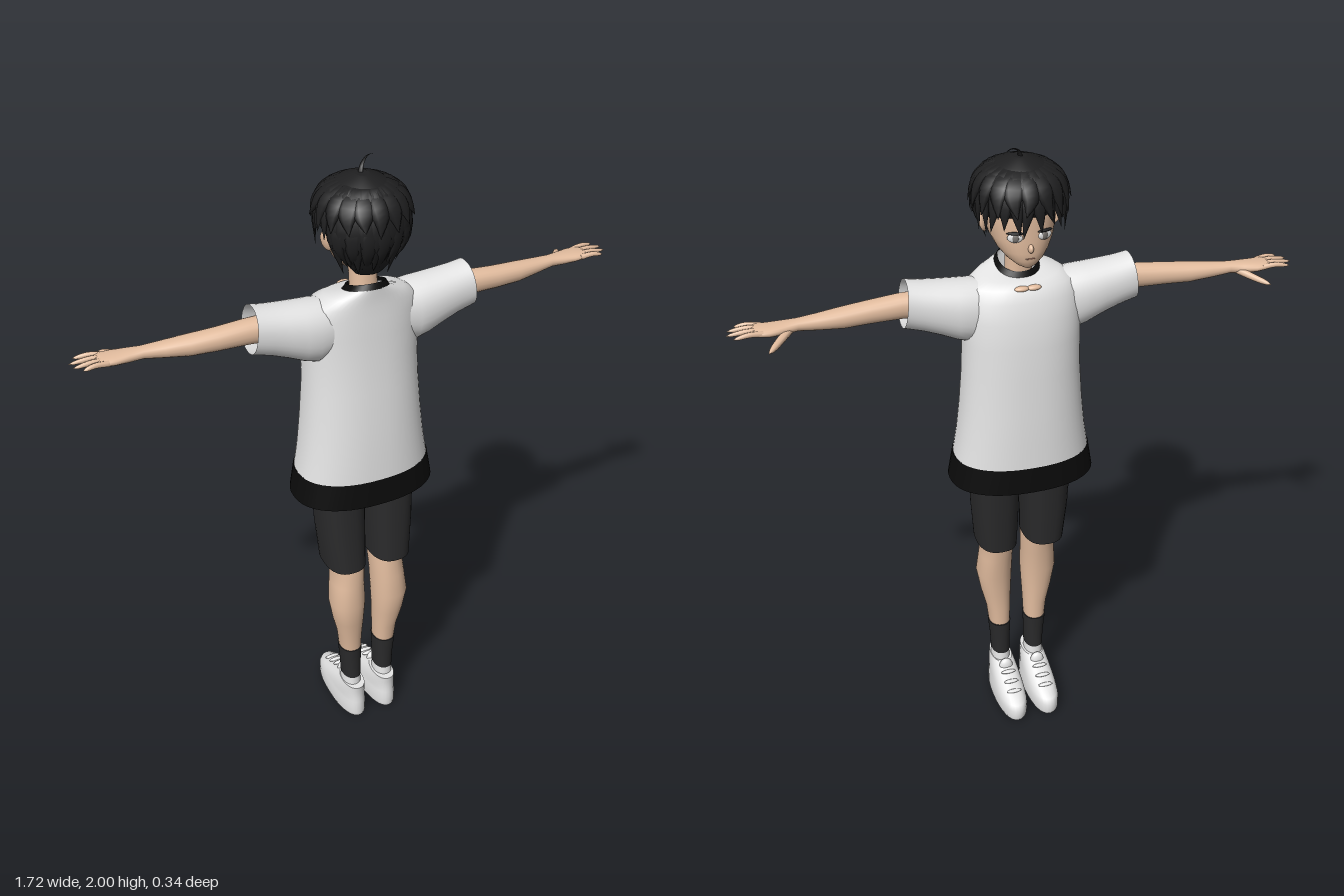
import * as THREE from 'three';

const V = (x, y, z) => new THREE.Vector3(x, y, z);
const mat = (name, color, side = THREE.FrontSide) => {
  const m = new THREE.MeshStandardMaterial({ color, side });
  m.name = name;
  return m;
};

// Surface through a list of closed rings, with flat end caps
function skin(rings, capped = true) {
  const pos = [], idx = [], n = rings[0].length;
  const add = (p) => pos.push(p.x, p.y, p.z) / 3 - 1;
  rings.forEach((r) => r.forEach(add));
  for (let i = 0; i < rings.length - 1; i++) {
    for (let j = 0; j < n; j++) {
      const a = i * n + j, c = i * n + (j + 1) % n;
      idx.push(a, a + n, c, c, a + n, c + n);
    }
  }
  if (capped) {
    [rings[0], rings[rings.length - 1]].forEach((r, end) => {
      const centre = add(r.reduce((s, p) => s.add(p), V(0, 0, 0)).divideScalar(n));
      const first = r.map(add)[0];
      for (let j = 0; j < n; j++) {
        const a = first + j, b = first + (j + 1) % n;
        idx.push(centre, end ? b : a, end ? a : b);
      }
    });
  }
  const g = new THREE.BufferGeometry();
  g.setAttribute('position', new THREE.Float32BufferAttribute(pos, 3));
  g.setIndex(idx);
  g.computeVertexNormals();
  return g;
}

// Sections [along, centreA, centreB, radiusA, radiusB, tilt]; axis y: A=x B=z, axis x: A=z B=y
function loft(sections, { axis = 'y', n = 32, power = 2.2, capped = true } = {}) {
  const sup = (v) => Math.sign(v) * Math.abs(v) ** (2 / power);
  return skin(sections.map(([u, ca, cb, ra, rb, tilt = 0]) =>
    Array.from({ length: n }, (_, j) => {
      const t = (j / n) * Math.PI * 2;
      const a = ca + ra * sup(Math.cos(t)), b = cb + rb * sup(Math.sin(t));
      const h = u + tilt * sup(Math.sin(t));
      return axis === 'y' ? V(a, h, b) : V(h, b, a);
    })), capped);
}

// Tapered strand along a smooth path; normalAt gives the direction of its thickness
function strand(points, width, thick, normalAt, taper, n = 6) {
  const curve = new THREE.CatmullRomCurve3(points), steps = 10;
  return skin(Array.from({ length: steps + 1 }, (_, i) => {
    const u = i / steps, c = curve.getPoint(u), T = curve.getTangent(u);
    const side = T.clone().cross(normalAt(c)).normalize(), N = side.clone().cross(T);
    return Array.from({ length: n }, (_, j) => {
      const t = (j / n) * Math.PI * 2;
      return c.clone().addScaledVector(side, Math.cos(t) * width * taper(u))
        .addScaledVector(N, Math.sin(t) * thick * taper(u));
    });
  }));
}

function blob(x, y, z, rx, ry, rz) {
  return new THREE.SphereGeometry(1, 20, 14).scale(rx, ry, rz).translate(x, y, z);
}

function mirrored(geo) {
  const g = geo.clone().scale(-1, 1, 1), ix = g.index;
  for (let i = 0; i < ix.count; i += 3) {
    const a = ix.getX(i);
    ix.setX(i, ix.getX(i + 1));
    ix.setX(i + 1, a);
  }
  g.computeVertexNormals();
  return g;
}

export function createModel() {
  const root = new THREE.Group();
  root.name = 'boy';
  const M = {
    skin: mat('skin', 0xe3bd9f),
    hair: mat('hair black', 0x1f1f20),
    shirt: mat('shirt white', 0xe4e4e4, THREE.DoubleSide),
    trim: mat('trim black', 0x0b0b0b, THREE.DoubleSide),
    shorts: mat('shorts charcoal', 0x2a2a2b),
    shoe: mat('shoe white', 0xe6e6e6),
    white: mat('bright white', 0xfafafa),
    iris: mat('iris grey', 0x77736f),
    mouth: mat('mouth', 0xb27b68),
  };
  const add = (name, geo, m, parent = root) => {
    const mesh = new THREE.Mesh(geo, m);
    mesh.name = name;
    parent.add(mesh);
  };
  const pair = (name, geo, m) => {
    add(name + 'Left', geo, m);
    add(name + 'Right', mirrored(geo), m);
  };

  // Shirt
  add('shirtBody', loft([
    [1.02, 0, 0.003, 0.215, 0.147], [1.1, 0, 0.002, 0.202, 0.143], [1.2, 0, 0, 0.191, 0.138],
    [1.32, 0, -0.002, 0.182, 0.128], [1.42, 0, -0.005, 0.18, 0.121], [1.5, 0, -0.002, 0.182, 0.113],
    [1.56, 0, 0.004, 0.178, 0.103], [1.595, 0, 0.012, 0.16, 0.092], [1.617, 0, 0.022, 0.122, 0.082, 0.008],
    [1.632, 0, 0.037, 0.066, 0.068, 0.02],
  ], { n: 48, capped: false, power: 2.3 }), M.shirt);
  pair('sleeve', loft([
    [0.1, 0.01, 1.52, 0.075, 0.085], [0.16, 0.01, 1.515, 0.082, 0.097], [0.2, 0.01, 1.522, 0.08, 0.092],
    [0.25, 0.01, 1.535, 0.074, 0.083], [0.3, 0.01, 1.547, 0.068, 0.076], [0.35, 0.01, 1.559, 0.065, 0.071, -0.009],
  ], { axis: 'x', capped: false }), M.shirt);
  add('shirtHem', loft([[0.935, 0, 0.005, 0.232, 0.155], [1.022, 0, 0.003, 0.217, 0.149]],
    { n: 48, capped: false, power: 2.3 }), M.trim);
  add('collar', loft([[1.63, 0, 0.037, 0.067, 0.069, 0.021], [1.648, 0, 0.037, 0.056, 0.06, 0.02]],
    { capped: false }), M.trim);
  pair('collarbone', blob(0.025, 1.597, -0.074, 0.022, 0.008, 0.012).rotateZ(0.004), M.skin);

  // Arms and hands
  pair('arm', loft([
    [0.15, 0.01, 1.55, 0.042, 0.045], [0.36, 0.008, 1.554, 0.037, 0.037], [0.45, 0.005, 1.55, 0.036, 0.033],
    [0.53, -0.002, 1.547, 0.035, 0.03], [0.6, -0.009, 1.548, 0.029, 0.023], [0.66, -0.014, 1.55, 0.023, 0.017],
    [0.7, -0.018, 1.549, 0.03, 0.017], [0.74, -0.021, 1.549, 0.037, 0.015], [0.775, -0.02, 1.551, 0.037, 0.012],
    [0.788, -0.02, 1.552, 0.03, 0.007],
  ], { axis: 'x', n: 20 }), M.skin);
  const up = () => V(0, 1, 0);
  const rounded = (u) => Math.sqrt(Math.max(0.02, 1 - u ** 6)) * (1 - 0.25 * u);
  [[-0.047, -0.06, 0.842], [-0.028, -0.032, 0.86], [-0.009, -0.005, 0.855], [0.009, 0.019, 0.833]]
    .forEach(([z0, z1, tip], i) => pair('finger' + (i + 1),
      strand([V(0.76, 1.551, z0), V(0.8, 1.556, (z0 + z1) / 2), V(tip, 1.551, z1)], 0.0095, 0.009, up, rounded, 8), M.skin));
  pair('thumb', strand([V(0.68, 1.545, -0.022), V(0.715, 1.534, -0.065), V(0.755, 1.524, -0.118)],
    0.014, 0.012, up, rounded, 8), M.skin);

  // Shorts and legs
  add('shortsHips', loft([[0.945, 0, 0.01, 0.163, 0.098], [1.1, 0, 0.01, 0.155, 0.095]]), M.shorts);
  pair('shortsLeg', loft([
    [0.657, 0.079, 0.03, 0.066, 0.094], [0.8, 0.083, 0.02, 0.074, 0.095], [1.0, 0.085, 0.009, 0.078, 0.097],
  ], { power: 2.5 }), M.shorts);
  pair('leg', loft([
    [0.27, 0.062, 0.05, 0.034, 0.043], [0.35, 0.065, 0.053, 0.04, 0.047], [0.42, 0.072, 0.058, 0.05, 0.056],
    [0.5, 0.077, 0.06, 0.059, 0.064], [0.58, 0.073, 0.05, 0.055, 0.066], [0.65, 0.068, 0.042, 0.053, 0.07],
    [0.72, 0.075, 0.03, 0.058, 0.075],
  ]), M.skin);
  pair('sock', loft([[0.16, 0.06, 0.05, 0.031, 0.044], [0.22, 0.061, 0.05, 0.033, 0.044],
    [0.29, 0.063, 0.05, 0.038, 0.047]]), M.shorts);
  pair('ankle', loft([[0.06, 0.06, 0.05, 0.036, 0.05], [0.165, 0.06, 0.05, 0.029, 0.041]]), M.white);

  // Shoes: heel stays put while the front edge runs back towards the ankle; [y, halfWidth, front, heel, tilt]
  pair('shoe', loft([
    [0, 0.049, -0.168, 0.118], [0.012, 0.053, -0.176, 0.121], [0.045, 0.053, -0.176, 0.12],
    [0.062, 0.05, -0.165, 0.118], [0.078, 0.048, -0.132, 0.116], [0.096, 0.045, -0.085, 0.115],
    [0.113, 0.041, -0.045, 0.116], [0.13, 0.036, -0.006, 0.118],
  ].map(([y, w, f, h]) => [y, 0.057, (f + h) / 2, w, (h - f) / 2])), M.shoe);
  pair('tongue', blob(0.057, 0.118, -0.012, 0.024, 0.03, 0.016), M.shoe);
  for (let i = 0; i < 3; i++) {
    pair('lace' + (i + 1), blob(0.057, 0.116 - i * 0.015, -0.044 - i * 0.034, 0.026, 0.006, 0.008), M.shoe);
  }

  // Head and face
  add('neck', loft([[1.54, 0, 0.03, 0.05, 0.05], [1.62, 0, 0.022, 0.04, 0.042], [1.71, 0, 0.015, 0.04, 0.045]]), M.skin);
  add('head', loft([
    [1.664, 0, -0.064, 0.012, 0.016], [1.672, 0, -0.052, 0.03, 0.037], [1.69, 0, -0.032, 0.054, 0.065],
    [1.715, 0, -0.012, 0.075, 0.089], [1.75, 0, 0.002, 0.092, 0.103], [1.8, 0, 0.01, 0.102, 0.11],
    [1.86, 0, 0.012, 0.104, 0.112], [1.91, 0, 0.012, 0.085, 0.095], [1.94, 0, 0.012, 0.05, 0.06],
  ], { n: 40 }), M.skin);
  add('nose', blob(0, 1.731, -0.101, 0.008, 0.013, 0.013), M.skin);
  add('mouthLine', blob(0, 1.699, -0.095, 0.016, 0.0025, 0.005), M.mouth);
  pair('ear', blob(0, 0, 0, 0.01, 0.031, 0.02).rotateY(-0.5).rotateZ(-0.25).translate(0.109, 1.783, 0.012), M.skin);
  pair('eyeWhite', blob(0, 0, 0, 0.022, 0.014, 0.006).rotateY(-0.3).translate(0.044, 1.765, -0.092), M.white);
  pair('iris', blob(0, 0, 0, 0.01, 0.013, 0.005).rotateY(-0.3).translate(0.043, 1.765, -0.0955), M.iris);
  pair('eyelash', blob(0, 0, 0, 0.025, 0.004, 0.007).rotateY(-0.3).translate(0.044, 1.779, -0.094), M.hair);

  // Hair: a scalp shell covered with layered pointed locks
  const hair = new THREE.Group();
  hair.name = 'hair';
  root.add(hair);
  add('scalp', loft([
    [1.69, 0, 0.055, 0.042, 0.03], [1.73, 0, 0.062, 0.075, 0.056], [1.78, 0, 0.055, 0.102, 0.085],
    [1.825, 0, 0.022, 0.124, 0.126], [1.88, 0, 0.012, 0.126, 0.134], [1.92, 0, 0.012, 0.105, 0.115],
    [1.95, 0, 0.012, 0.065, 0.075], [1.966, 0, 0.012, 0.02, 0.025],
  ], { n: 40, power: 2 }), M.hair, hair);
  let seed = 7;
  const rnd = () => (seed = (seed * 16807) % 2147483647) / 2147483647;
  const head = V(0, 1.83, 0.012);
  const outward = (p) => p.clone().sub(head).normalize();
  const pointed = (u) => (0.35 + 0.65 * Math.min(1, u * 2.5)) * (u < 0.55 ? 1 : Math.max(0.01, (1 - u) / 0.45));
  // Angle 0 is the face, pi the nape
  const lock = (angle, tipY, tipR, midY, width) => {
    const s = Math.sin(angle), c = -Math.cos(angle);
    const at = (y, r) => V(s * r, y, 0.012 + c * r * 1.07);
    const twist = angle + (rnd() - 0.5) * 0.25;
    const tip = V(Math.sin(twist) * tipR, tipY, 0.012 - Math.cos(twist) * tipR * 1.07);
    add('lock', strand([at(1.955, 0.025), at(1.925, 0.098), at(midY, 0.131), tip], width, 0.012, outward, pointed), M.hair, hair);
  };
  for (let i = 0; i < 26; i++) {
    const angle = ((i + 0.5) / 26) * Math.PI * 2;
    const d = Math.min(angle, Math.PI * 2 - angle);
    const j = (rnd() - 0.5) * 0.03;
    if (d < 1.0) lock(angle, 1.79 + j, 0.14, 1.865, 0.03);
    else if (d < 1.45) lock(angle, 1.765 + j, 0.13, 1.86, 0.026);
    else if (d < 1.9) lock(angle, 1.81 + j * 0.7, 0.142, 1.87, 0.028);
    else lock(angle, 1.71 + j, 0.095, 1.82, 0.036);
  }
  for (let i = 0; i < 18; i++) {
    const angle = ((i + 0.2) / 18) * Math.PI * 2;
    lock(angle, 1.815 + rnd() * 0.04, 0.147, 1.885, 0.032);
  }
  for (let i = -3; i <= 3; i++) {
    lock(Math.PI + i * 0.33, 1.685 + Math.abs(i) * 0.012, 0.062 + Math.abs(i) * 0.01, 1.8, 0.03);
  }
  add('cowlick', strand([V(-0.005, 1.95, 0.01), V(0.005, 1.982, 0), V(0.03, 1.997, -0.02), V(0.062, 1.992, -0.042)],
    0.009, 0.004, up, (u) => Math.max(0.02, 1 - u)), M.hair, hair);

  return root;
}
